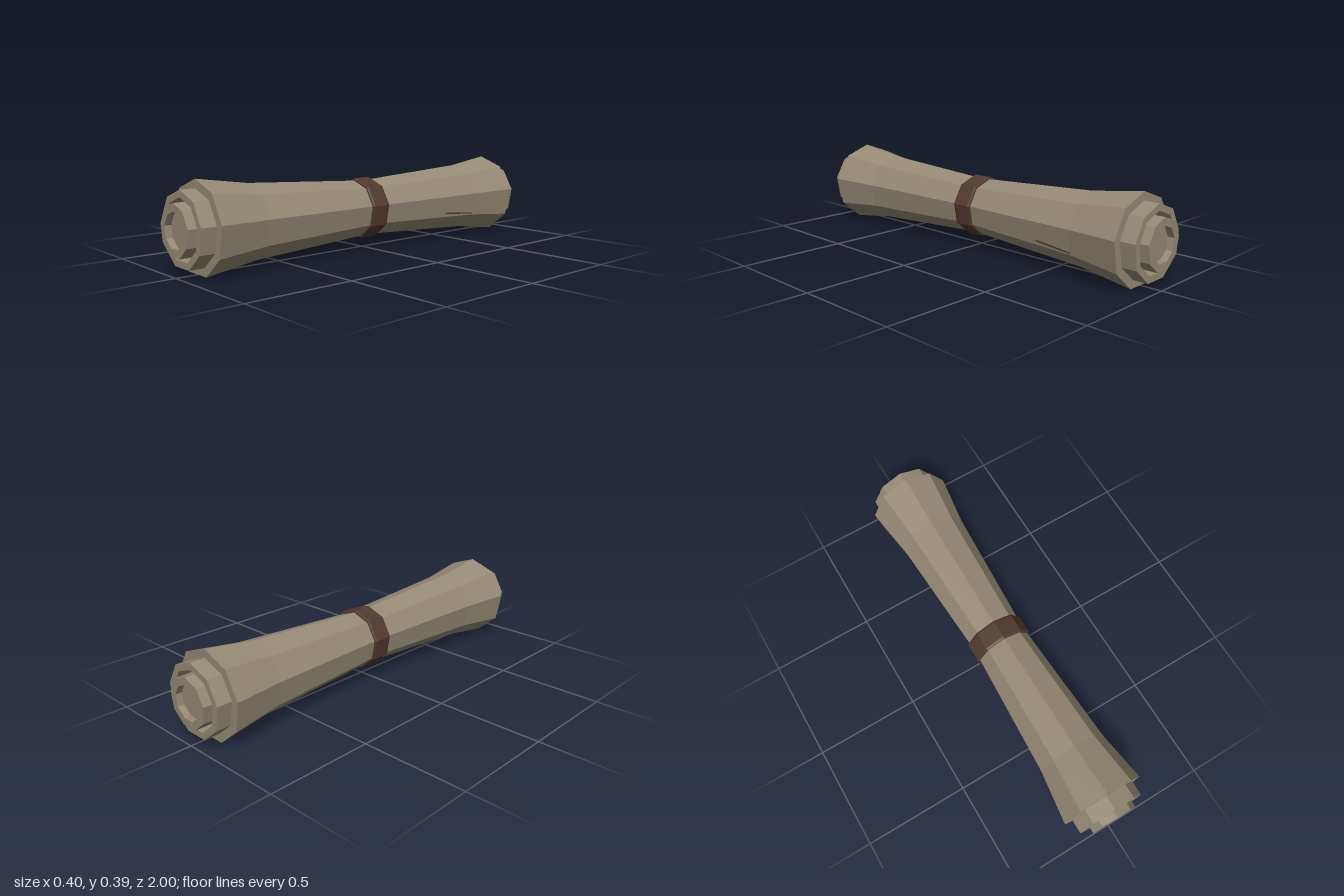
import * as THREE from 'three';

const SIDES = 9;
const RADIUS = 0.2036;
const AXIS_Y = RADIUS * Math.cos(Math.PI / SIDES); // lowest facet rests on y = 0

// Faceted nine-sided solid of revolution lying along z, with one corner at the top
function facetedLathe(profile) {
  const points = profile.map(([r, z]) => new THREE.Vector2(r, z));
  const geo = new THREE.LatheGeometry(points, SIDES).rotateX(-Math.PI / 2).toNonIndexed();
  geo.computeVertexNormals();
  return geo;
}

// Mirror a half profile (listed from the middle outwards) into a full one
function mirrored(half) {
  const back = half.map(([r, z]) => [r, -z]).reverse();
  return [...back, ...half];
}

export function createModel() {
  const paper = new THREE.MeshStandardMaterial({ color: 0x958a74 });
  const leather = new THREE.MeshStandardMaterial({ color: 0x503a2f });

  const scroll = new THREE.Group();
  scroll.name = 'scroll';
  const add = (name, geo, mat) => {
    const mesh = new THREE.Mesh(geo, mat);
    mesh.name = name;
    mesh.position.y = AXIS_Y;
    scroll.add(mesh);
  };

  // Rolled sheet: pinched waist, flared ends, stepped layers with a groove and a hollow core
  add('rolledPaper', facetedLathe(mirrored([
    [0.134, 0.03], [0.168, 0.65], [RADIUS, 0.9],
    [0.165, 0.9], [0.165, 0.97], [0.1345, 0.97],
    [0.1345, 0.9], [0.114, 0.9], [0.114, 1],
    [0.079, 1], [0.079, 0.97], [0, 0.97],
  ])), paper);

  // Band tied round the waist, with bevelled rims
  add('band', facetedLathe(mirrored([
    [0.146, 0.04], [0.142, 0.05], [0.13, 0.05],
  ])), leather);

  // Thin sliver of the tie showing on the lower left facet
  const onFacet = (z, y) => {
    const r = 0.134 + 0.034 * (-z / 0.65) + 0.001;
    const a = THREE.MathUtils.degToRad(10), b = THREE.MathUtils.degToRad(-30);
    const t = (Math.sin(a) * r - (y - AXIS_Y)) / (r * (Math.sin(a) - Math.sin(b)));
    return [r * THREE.MathUtils.lerp(Math.cos(a), Math.cos(b), t), y - AXIS_Y, z];
  };
  const corners = [[-0.45, 0.13], [-0.53, 0.122], [-0.65, 0.113], [-0.65, 0.119], [-0.47, 0.136]];
  const sliver = new THREE.BufferGeometry();
  sliver.setAttribute('position', new THREE.Float32BufferAttribute(
    corners.flatMap(([z, y]) => onFacet(z, y)), 3));
  sliver.setIndex([0, 1, 4, 1, 3, 4, 1, 2, 3]);
  sliver.computeVertexNormals();
  add('tieSliver', sliver, leather);

  return scroll;
}
